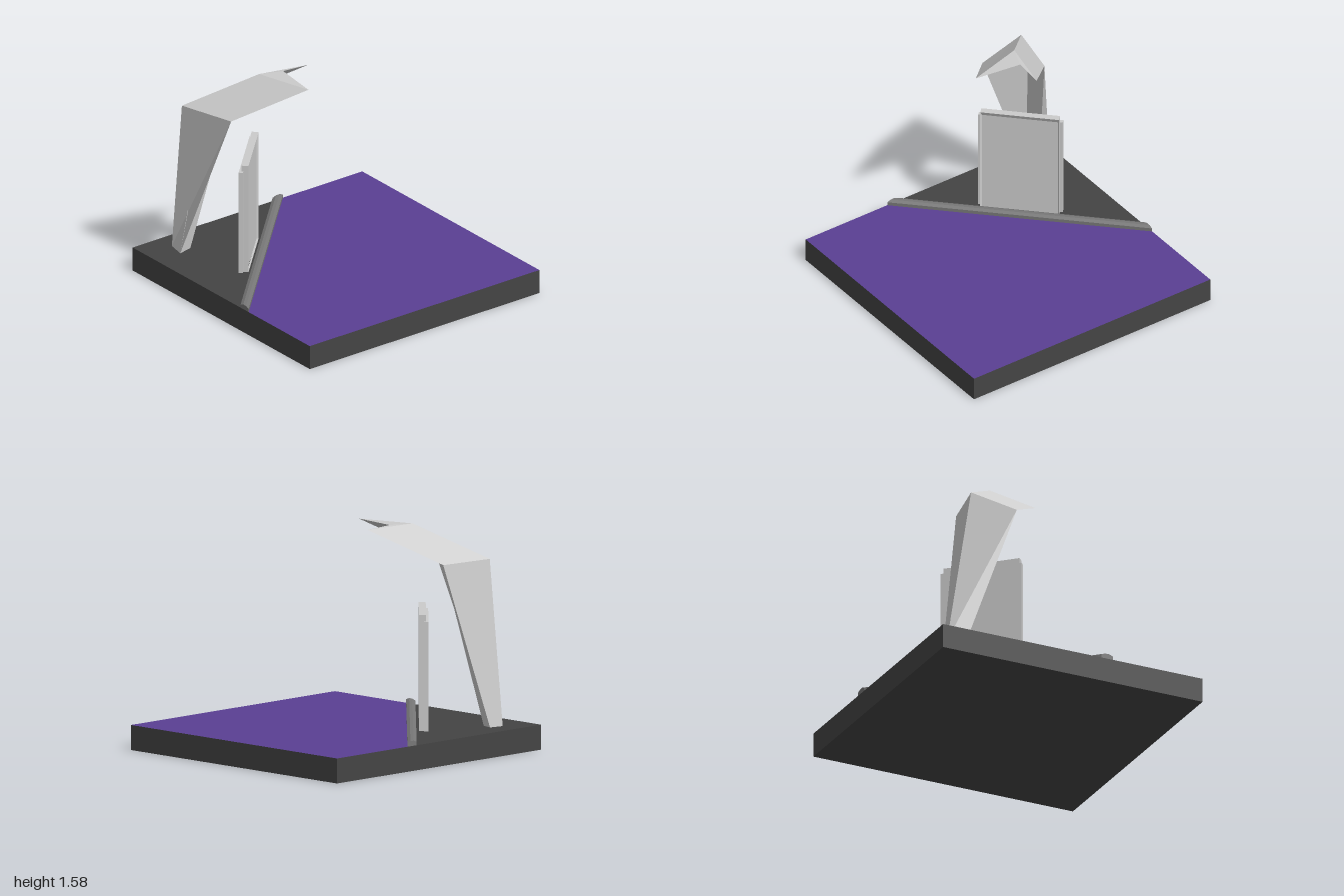
import * as THREE from 'three';

const grey = new THREE.MeshStandardMaterial({ color: 0xcccccc });
const dark = new THREE.MeshStandardMaterial({ color: 0x444444 });
const curbGrey = new THREE.MeshStandardMaterial({ color: 0x777777 });
const purple = new THREE.MeshStandardMaterial({ color: 0x5a3f93 });

const TOP = 0.175; // height of the base surface

// Joins rings of [x, y, z] points, counterclockwise as seen from the last ring; flat faces, both ends capped
function loft(rings) {
  const pos = [];
  const tri = (a, b, c) => pos.push(...a, ...b, ...c);
  const n = rings[0].length;
  for (let k = 0; k < rings.length - 1; k++) {
    const lower = rings[k], upper = rings[k + 1];
    for (let i = 0; i < n; i++) {
      const j = (i + 1) % n;
      tri(lower[i], lower[j], upper[j]);
      tri(lower[i], upper[j], upper[i]);
    }
  }
  const first = rings[0], last = rings[rings.length - 1];
  for (let i = 1; i < n - 1; i++) {
    tri(first[0], first[i + 1], first[i]);
    tri(last[0], last[i], last[i + 1]);
  }
  const geo = new THREE.BufferGeometry();
  geo.setAttribute('position', new THREE.Float32BufferAttribute(pos, 3));
  geo.computeVertexNormals();
  return geo;
}

function add(parent, name, geo, material) {
  const mesh = new THREE.Mesh(geo, material);
  mesh.name = name;
  parent.add(mesh);
  return mesh;
}

// Thin slab of floor from [x, z] corners, its top at the base surface
function floor(parent, name, corners, material) {
  const shape = new THREE.Shape(corners.map(([x, z]) => new THREE.Vector2(x, -z)));
  const geo = new THREE.ExtrudeGeometry(shape, { depth: 0.005, bevelEnabled: false });
  geo.rotateX(-Math.PI / 2).translate(0, TOP - 0.005, 0);
  return add(parent, name, geo, [material, dark]);
}

export function createModel() {
  const model = new THREE.Group();

  // Square base with a dark back corner and a coloured floor
  add(model, 'base', new THREE.BoxGeometry(2, TOP - 0.005, 2), dark).position.y = (TOP - 0.005) / 2;
  floor(model, 'frontFloor', [[-1, 0.28], [-1, 1], [1, 1], [1, -1], [0.28, -1]], purple);
  floor(model, 'backFloor', [[-1, -1], [-1, 0.28], [0.28, -1]], dark);

  // Parts set across the corner, facing the diagonal
  const diagonal = new THREE.Group();
  diagonal.name = 'diagonalParts';
  diagonal.rotation.y = Math.PI / 4;
  model.add(diagonal);

  // Curb with chamfered top, mitred to the edges of the base; profile is [z, y]
  const profile = [[-0.488, TOP], [-0.552, TOP], [-0.552, 0.2], [-0.531, 0.211], [-0.509, 0.211], [-0.488, 0.2]];
  const curbEnd = (side) => profile.map(([z, y]) => [side * (Math.SQRT2 + z), y, z]);
  add(diagonal, 'curb', loft([curbEnd(-1), curbEnd(1)]), curbGrey);

  // Upright board: front panel recessed in a sloped rim
  const rect = (inset, top, z) => [
    [-0.29 + inset, TOP, z], [0.261 - inset, TOP, z], [0.261 - inset, top, z], [-0.29 + inset, top, z],
  ];
  add(diagonal, 'board', loft([rect(0, 0.985, -0.62), rect(0, 0.985, -0.571), rect(0.009, 0.955, -0.585)]), grey);

  // Wider, lower slab behind the board
  add(diagonal, 'backSlab', new THREE.BoxGeometry(0.59, 0.94 - TOP, 0.03), grey)
    .position.set(-0.015, (0.94 + TOP) / 2, -0.622);

  // Bent canopy with an arrowhead section: ridge, left wing, inner crease, right wing
  const canopy = [
    [[-0.77, TOP, -0.855], [-0.797, TOP, -0.725], [-0.69, TOP, -0.75], [-0.668, TOP, -0.833]],
    [[-0.81, 1.32, -0.69], [-0.697, 1.32, -0.28], [-0.645, 1.32, -0.626], [-0.43, 1.312, -0.615]],
    [[-0.406, 1.575, -0.342], [-0.291, 1.575, 0.066], [-0.246, 1.575, -0.278], [-0.037, 1.565, -0.269]],
  ];
  add(model, 'canopy', loft(canopy), grey);

  return model;
}
